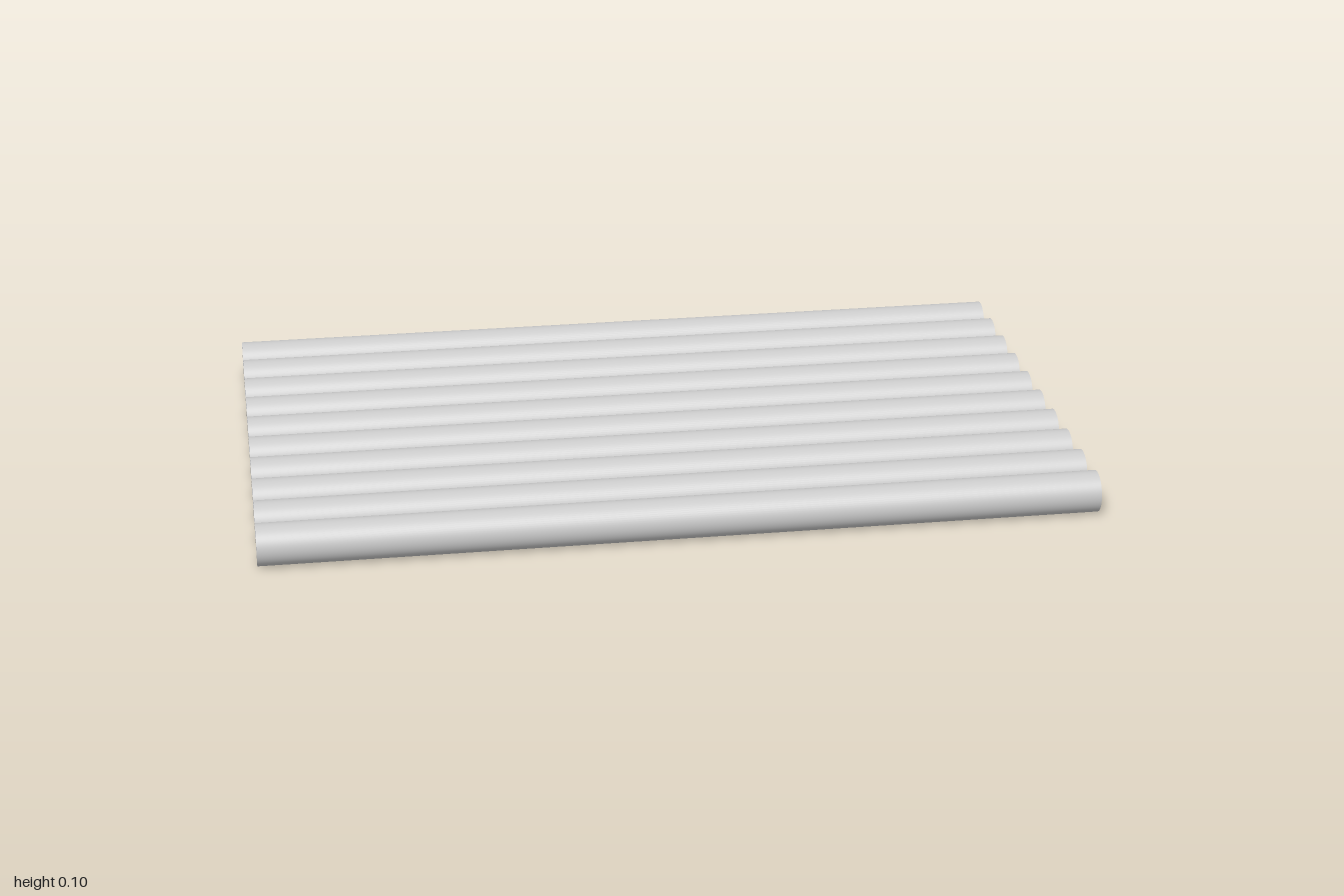
import * as THREE from 'three';

const COUNT = 10;
const RADIUS = 0.05;
const LENGTH = 2;
const SPACING = 0.125;

export function createModel() {
  const model = new THREE.Group();
  model.name = 'rodRow';
  const material = new THREE.MeshStandardMaterial({ color: 0xcccccc });

  // One smooth capped rod lying along x, shared by the whole row
  const rodGeometry = new THREE.CylinderGeometry(RADIUS, RADIUS, LENGTH, 64);
  rodGeometry.rotateZ(Math.PI / 2);

  // Evenly spaced parallel rods, from back to front
  for (let i = 0; i < COUNT; i++) {
    const rod = new THREE.Mesh(rodGeometry, material);
    rod.name = `rod${i + 1}`;
    rod.position.set(0, RADIUS, (i - (COUNT - 1) / 2) * SPACING);
    model.add(rod);
  }
  return model;
}
